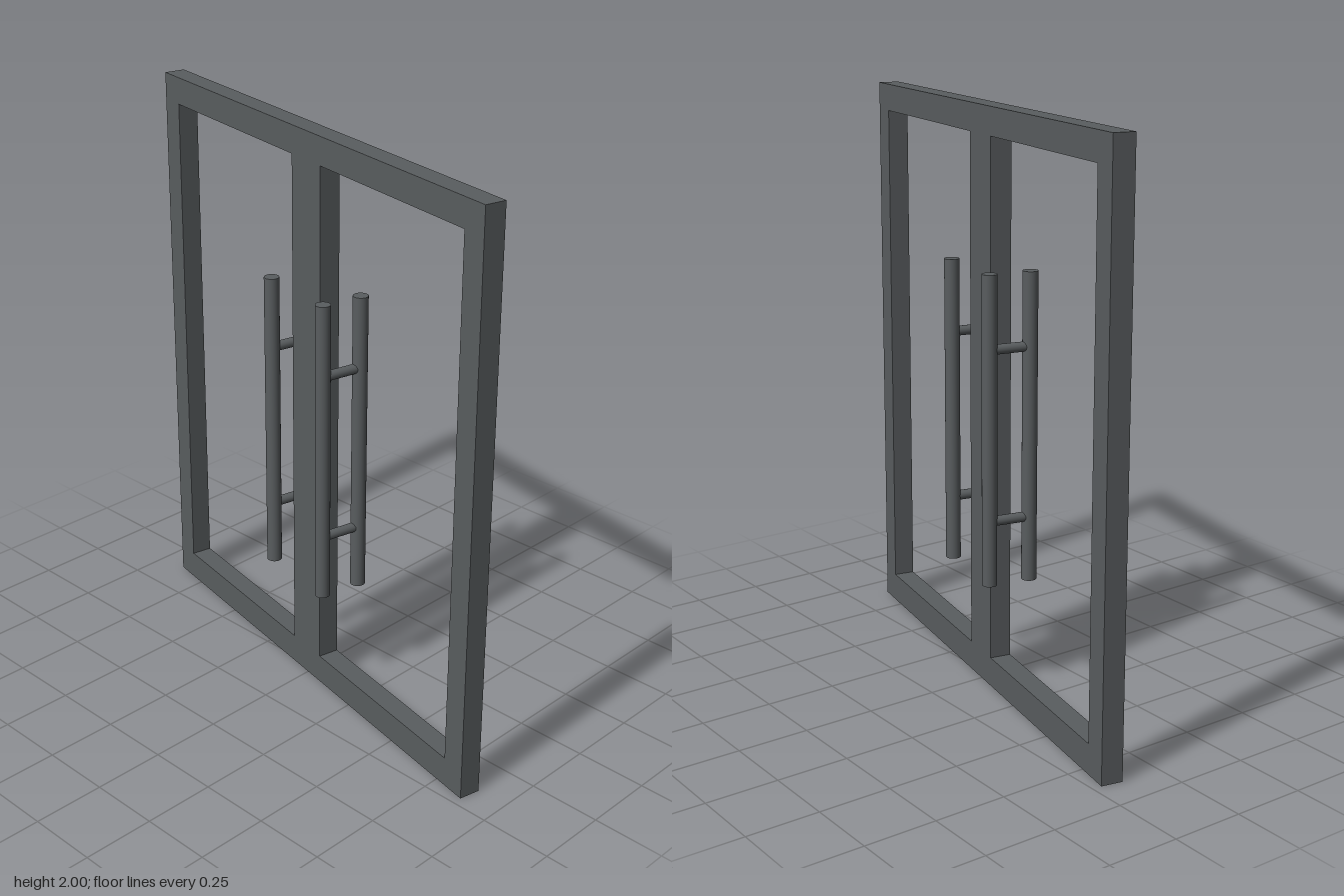
import * as THREE from 'three';

const WIDTH = 1.8, HEIGHT = 2, DEPTH = 0.074;
const STILE = 0.089, MULLION = 0.164, TOP_RAIL = 0.095, BOTTOM_RAIL = 0.104;

function rectangle(target, x0, y0, x1, y1) {
  target.moveTo(x0, y0);
  target.lineTo(x1, y0);
  target.lineTo(x1, y1);
  target.lineTo(x0, y1);
  target.closePath();
  return target;
}

export function createModel() {
  const metal = new THREE.MeshStandardMaterial({ color: 0x595d5f });
  metal.name = 'darkGreyMetal';

  const door = new THREE.Group();
  door.name = 'doubleDoor';

  // Frame with two open panes
  const outline = rectangle(new THREE.Shape(), -WIDTH / 2, 0, WIDTH / 2, HEIGHT);
  const inner = MULLION / 2, outer = WIDTH / 2 - STILE;
  for (const [x0, x1] of [[-outer, -inner], [inner, outer]]) {
    outline.holes.push(rectangle(new THREE.Path(), x0, BOTTOM_RAIL, x1, HEIGHT - TOP_RAIL));
  }
  const frameGeometry = new THREE.ExtrudeGeometry(outline, { depth: DEPTH, bevelEnabled: false });
  frameGeometry.translate(0, 0, -DEPTH / 2);
  const frame = new THREE.Mesh(frameGeometry, metal);
  frame.name = 'doorFrame';
  door.add(frame);

  // Paired pull bars joined by rods that pass through each leaf
  const barGeometry = new THREE.CylinderGeometry(0.026, 0.026, 1.067, 24);
  const rodGeometry = new THREE.CylinderGeometry(0.017, 0.017, 0.147, 16).rotateX(Math.PI / 2);
  for (const side of [-1, 1]) {
    const handle = new THREE.Group();
    handle.name = side < 0 ? 'frontLeafHandle' : 'backLeafHandle';
    handle.position.x = side * 0.153;
    for (const face of [-1, 1]) {
      const bar = new THREE.Mesh(barGeometry, metal);
      bar.name = 'pullBar';
      bar.position.set(0, 0.939, face * 0.0735);
      handle.add(bar);
    }
    for (const y of [0.63, 1.22]) {
      const rod = new THREE.Mesh(rodGeometry, metal);
      rod.name = 'handleRod';
      rod.position.y = y;
      handle.add(rod);
    }
    door.add(handle);
  }

  // The door stands nearly along z
  door.rotation.y = THREE.MathUtils.degToRad(90 - 11.65);
  const model = new THREE.Group();
  model.name = 'glasslessDoubleDoor';
  model.add(door);
  return model;
}
